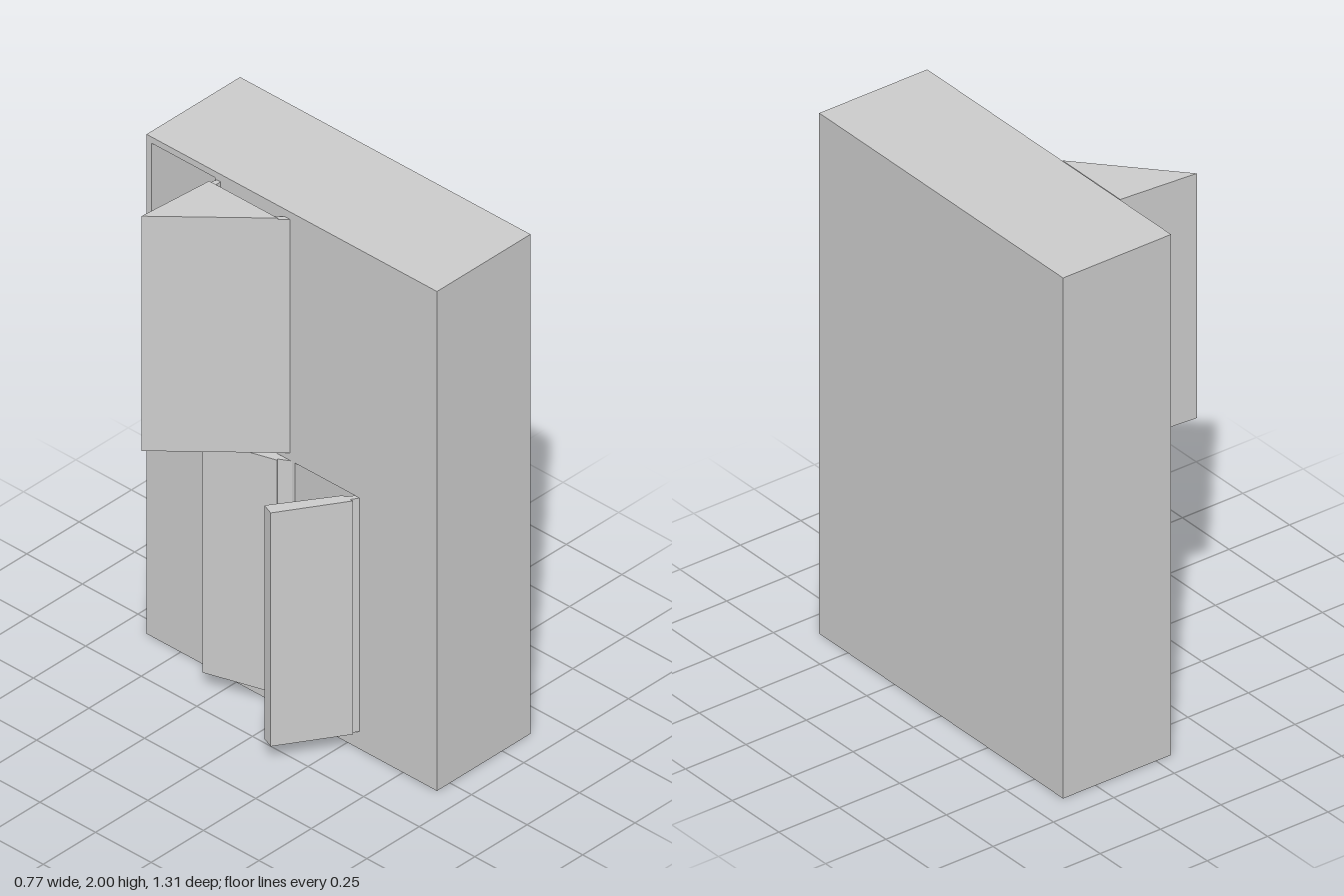
import * as THREE from 'three';

const material = new THREE.MeshStandardMaterial({ color: 0xcccccc, flatShading: true });

function mesh(name, geometry) {
  const m = new THREE.Mesh(geometry, material);
  m.name = name;
  return m;
}

// Upright prism from an [x, z] footprint
function prism(name, footprint, y0, y1) {
  const shape = new THREE.Shape(footprint.map(([x, z]) => new THREE.Vector2(x, -z)));
  const geometry = new THREE.ExtrudeGeometry(shape, { depth: y1 - y0, bevelEnabled: false });
  geometry.rotateX(-Math.PI / 2).translate(0, y0, 0);
  return mesh(name, geometry);
}

// Counter-clockwise rectangle in the door plane, given by z and y ranges
function rectangle(PathType, z0, z1, y0, y1) {
  return new PathType([[-z1, y0], [-z0, y0], [-z0, y1], [-z1, y1]].map(([x, y]) => new THREE.Vector2(x, y)));
}

export function createModel() {
  const model = new THREE.Group();
  const front = -0.062, inner = 0.36, back = 0.385;

  // Cabinet body with three open compartments
  const outline = rectangle(THREE.Shape, -0.653, 0.653, 0, 2);
  const openings = [
    [-0.63, -0.345, 1.035, 1.975],
    [-0.30, 0, 0.07, 1.005],
    [0.015, 0.302, 0.07, 1.005],
  ];
  for (const o of openings) outline.holes.push(rectangle(THREE.Path, ...o));
  const body = new THREE.ExtrudeGeometry(outline, { depth: inner - front, bevelEnabled: false });
  body.rotateY(Math.PI / 2).translate(front, 0, 0);
  model.add(mesh('cabinetBody', body));

  const backPanel = new THREE.BoxGeometry(back - inner, 2, 1.306);
  backPanel.translate((back + inner) / 2, 1, 0);
  model.add(mesh('backPanel', backPanel));

  // Doors standing open, each joined to the cabinet by thinner hinge strips
  const doors = [
    {
      name: 'upperDoor', y: [1.035, 1.975], hingeTop: 1.97,
      leaf: [[-0.387, -0.37], [-0.089, -0.346], [-0.089, -0.037]],
      hinges: [
        [[-0.089, -0.342], [-0.06, -0.338], [-0.06, -0.32], [-0.089, -0.32]],
        [[-0.089, -0.037], [-0.06, -0.005], [-0.06, -0.03], [-0.089, -0.065]],
      ],
    },
    {
      name: 'lowerMiddleDoor', y: [0.07, 1.005], hingeTop: 1.005,
      leaf: [[-0.09, -0.04], [-0.17, -0.30], [-0.132, -0.31], [-0.055, -0.055]],
      hinges: [[[-0.085, -0.045], [-0.06, 0], [-0.055, -0.03], [-0.065, -0.055]]],
    },
    {
      name: 'lowerSideDoor', y: [0.07, 1.005], hingeTop: 1.005,
      leaf: [[-0.089, 0.3], [-0.323, 0.151], [-0.306, 0.106], [-0.089, 0.254]],
      hinges: [[[-0.089, 0.288], [-0.06, 0.306], [-0.06, 0.285], [-0.089, 0.265]]],
    },
  ];
  for (const { name, y: [y0, y1], hingeTop, leaf, hinges } of doors) {
    const door = new THREE.Group();
    door.name = name;
    door.add(prism(name + 'Leaf', leaf, y0, y1));
    for (const hinge of hinges) door.add(prism(name + 'Hinge', hinge, y0, hingeTop));
    model.add(door);
  }

  return model;
}
